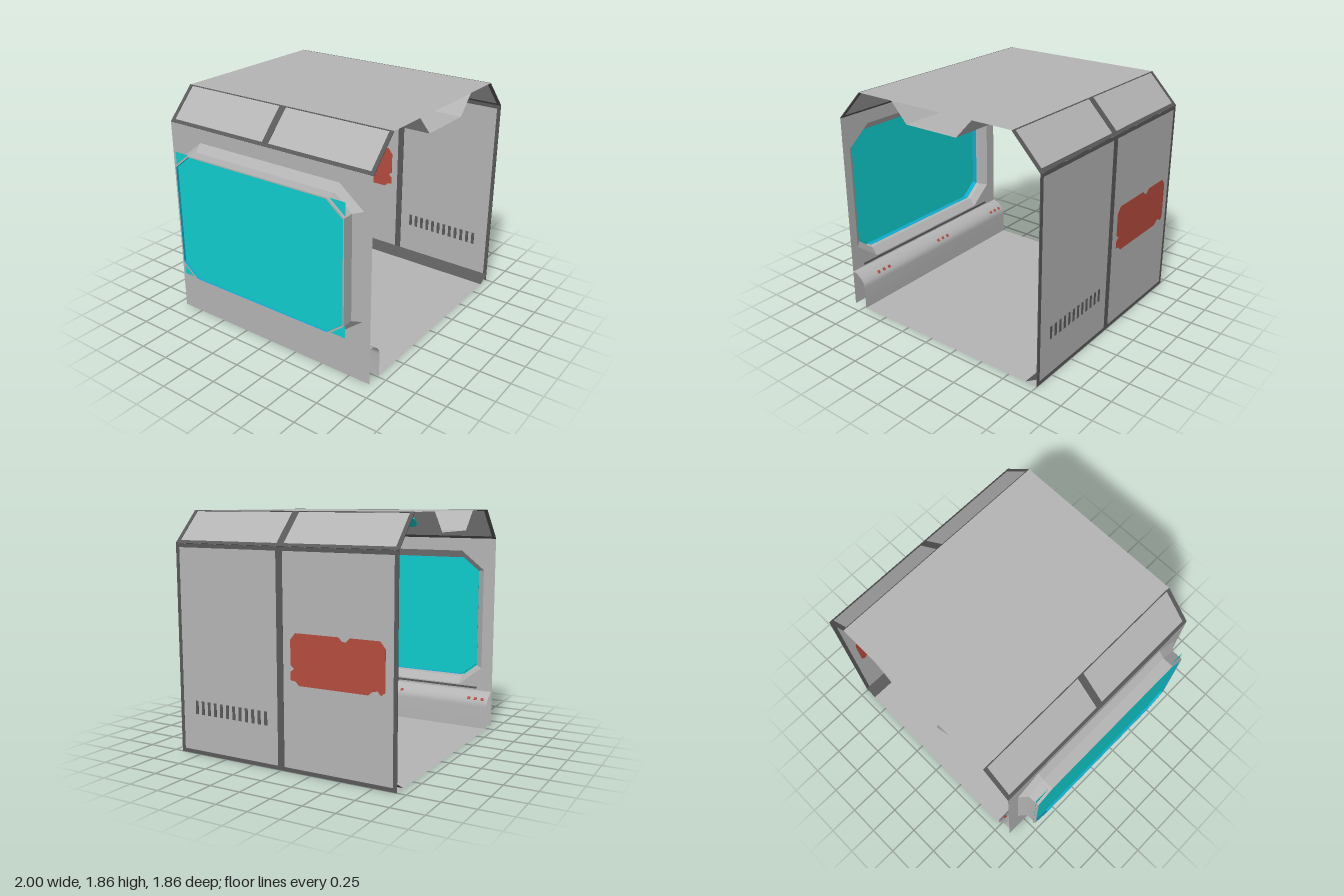
import * as THREE from 'three';

const mat = (name, color) => {
  const m = new THREE.MeshStandardMaterial({ color, side: THREE.DoubleSide });
  m.name = name;
  return m;
};

export function createModel() {
  const grey = mat('panel grey', 0xb4b4b4);
  const dark = mat('seam dark grey', 0x595959);
  const red = mat('marking red', 0xb54c3e);
  const teal = mat('glass teal', 0x10cccc);
  const blue = mat('glass rim blue', 0x10abcc);

  const model = new THREE.Group();
  model.name = 'corridorSection';
  const L = 0.93; // half length along z
  const T = 0.006; // thickness of painted plates

  const add = (name, geo, material, parent = model) => {
    const m = new THREE.Mesh(geo, material);
    m.name = name;
    parent.add(m);
    return m;
  };

  const box = (name, w, h, d, x, y, z, material, parent = model) => {
    const m = add(name, new THREE.BoxGeometry(w, h, d), material, parent);
    m.position.set(x, y, z);
    return m;
  };

  // Surface joining equal cross-section rings of [x, y, z] points
  const loft = (rings, closed, smooth) => {
    const n = rings[0].length;
    const pos = rings.flat(2);
    const idx = [];
    for (let r = 0; r < rings.length - 1; r++) {
      for (let i = 0; i < (closed ? n : n - 1); i++) {
        const a = r * n + i, b = r * n + (i + 1) % n;
        idx.push(a, b, a + n, b, b + n, a + n);
      }
    }
    let g = new THREE.BufferGeometry();
    g.setAttribute('position', new THREE.Float32BufferAttribute(pos, 3));
    g.setIndex(idx);
    if (!smooth) g = g.toNonIndexed();
    g.computeVertexNormals();
    return g;
  };

  // Sheet running the full length with the given x, y profile
  const sheet = (profile, smooth = false) =>
    loft([L, -L].map((z) => profile.map(([x, y]) => [x, y, z])), false, smooth);

  // Octagon in z, y: a rectangle with cut corners
  const octagon = (z0, z1, y0, y1, c) => {
    const d = c * 0.8;
    return [[z0 + c, y0], [z1 - c, y0], [z1, y0 + d], [z1, y1 - d],
      [z1 - c, y1], [z0 + c, y1], [z0, y1 - d], [z0, y0 + d]];
  };
  const ring = (x, outline) => outline.map(([z, y]) => [x, y, z]);
  const shapeOf = (pts) => new THREE.Shape(pts.map(([z, y]) => new THREE.Vector2(z, y)));

  // Shell: floor, right wall, slopes and roof
  add('floor', sheet([[-0.735, 0], [1, 0]]), grey);
  add('rightWall', sheet([[1, 0], [1, 1.62]]), grey);
  add('rightSlope', sheet([[1, 1.62], [0.77, 1.86]]), grey);
  add('roof', sheet([[0.77, 1.86], [-0.63, 1.86]]), grey);
  add('leftSlope', sheet([[-0.63, 1.86], [-0.86, 1.62]]), grey);

  // Left wall with the window opening
  const opening = octagon(-0.83, 0.86, 0.34, 1.51, 0.2);
  const wall = shapeOf([[-L, 0], [L, 0], [L, 1.62], [-L, 1.62]]);
  wall.holes.push(shapeOf(opening));
  const leftWall = add('leftWall', new THREE.ShapeGeometry(wall), grey);
  leftWall.rotation.y = -Math.PI / 2;
  leftWall.position.x = -0.86;

  // Window bay: flared frame, glass and inner lining
  const mouth = octagon(-0.77, 0.8, 0.4, 1.45, 0.14);
  const lining = octagon(-0.76, 0.79, 0.41, 1.44, 0.14);
  add('windowFrame', loft([ring(-0.86, opening), ring(-0.91, mouth), ring(-1, mouth)], true), grey);
  const lip = shapeOf(mouth);
  lip.holes.push(shapeOf(lining));
  const lipMesh = add('windowLip', new THREE.ShapeGeometry(lip), grey);
  lipMesh.rotation.y = -Math.PI / 2;
  lipMesh.position.x = -1;
  add('glassRim', loft([ring(-0.935, lining), ring(-0.999, lining)], true), blue);
  const glass = add('windowGlass', new THREE.PlaneGeometry(1.57, 1.04), teal);
  glass.rotation.y = -Math.PI / 2;
  glass.position.set(-0.98, 0.925, 0.012);

  // Dark seams around the two halves of a panel
  const seams = (name, x, y, angle, h, bottom, top) => {
    const g = new THREE.Group();
    g.name = name;
    g.position.set(x, y, 0);
    g.rotation.z = angle;
    model.add(g);
    for (const s of [-1, 1]) box('endSeam', T, h, 0.03, 0, 0, s * (L - 0.015), dark, g);
    box('middleSeam', T, h, 0.055, 0, 0, 0, dark, g);
    box('bottomSeam', T, bottom, 2 * L, 0, (bottom - h) / 2, 0, dark, g);
    box('topSeam', T, top, 2 * L, 0, (h - top) / 2, 0, dark, g);
  };
  const tilt = Math.atan2(0.23, 0.24);
  seams('rightWallSeams', 0.998, 0.81, 0, 1.62, 0.03, 0.03);
  seams('rightSlopeSeams', 0.885, 1.74, tilt, 0.332, 0.028, 0.008);
  seams('leftSlopeSeams', -0.745, 1.74, -tilt, 0.332, 0.028, 0.008);
  add('kickStrip', sheet([[0.9, 0.002], [0.995, 0.06]]), dark);

  // Red marking showing on both faces of the right wall
  const patch = shapeOf([
    [-0.13, 1.02], [-0.48, 1.02], [-0.51, 0.99], [-0.54, 0.99], [-0.57, 1.02], [-0.8, 1.02],
    [-0.84, 0.97], [-0.84, 0.68], [-0.81, 0.65], [-0.78, 0.68], [-0.74, 0.67], [-0.71, 0.645],
    [-0.16, 0.645], [-0.13, 0.675], [-0.09, 0.68], [-0.09, 0.74], [-0.12, 0.765], [-0.09, 0.79],
    [-0.09, 0.97],
  ]);
  const marking = add('redMarking',
    new THREE.ExtrudeGeometry(patch, { depth: T, bevelEnabled: false }), red);
  marking.rotation.y = -Math.PI / 2;
  marking.position.x = 1.002;

  // Row of vent slots
  for (let i = 0; i < 12; i++) {
    box('ventSlot', T, 0.105, 0.026, 0.999, 0.37, 0.77 - i * 0.058, dark);
  }

  // Rounded rail along the foot of the left wall, with small red lamps
  add('floorRail', sheet([[-0.86, 0.3], [-0.82, 0.295], [-0.775, 0.265], [-0.745, 0.23],
    [-0.735, 0.19], [-0.735, 0]], true), grey);
  for (const z of [0.68, -0.06, -0.82]) {
    for (const k of [-1, 0, 1]) {
      const lamp = box('railLamp', 0.025, T, 0.025, -0.76, 0.249, z + k * 0.06, red);
      lamp.rotation.z = -0.86;
    }
  }
  box('wallSlot', T, 0.016, 1.6, -0.857, 0.322, 0.01, dark);

  // Ceiling duct, open at both ends, with a small screen on its side
  add('ceilingDuct', sheet([[-0.3, 1.86], [-0.16, 1.71], [0.3, 1.71], [0.44, 1.86]]), grey);
  const screen = add('ductScreen',
    new THREE.ExtrudeGeometry(shapeOf(octagon(-0.1, 0.1, -0.05, 0.05, 0.03)),
      { depth: T, bevelEnabled: false }), teal);
  screen.rotation.set(0, -Math.PI / 2, -Math.atan2(0.14, 0.15), 'ZYX');
  screen.position.set(0.378, 1.782, -0.66);

  return model;
}
